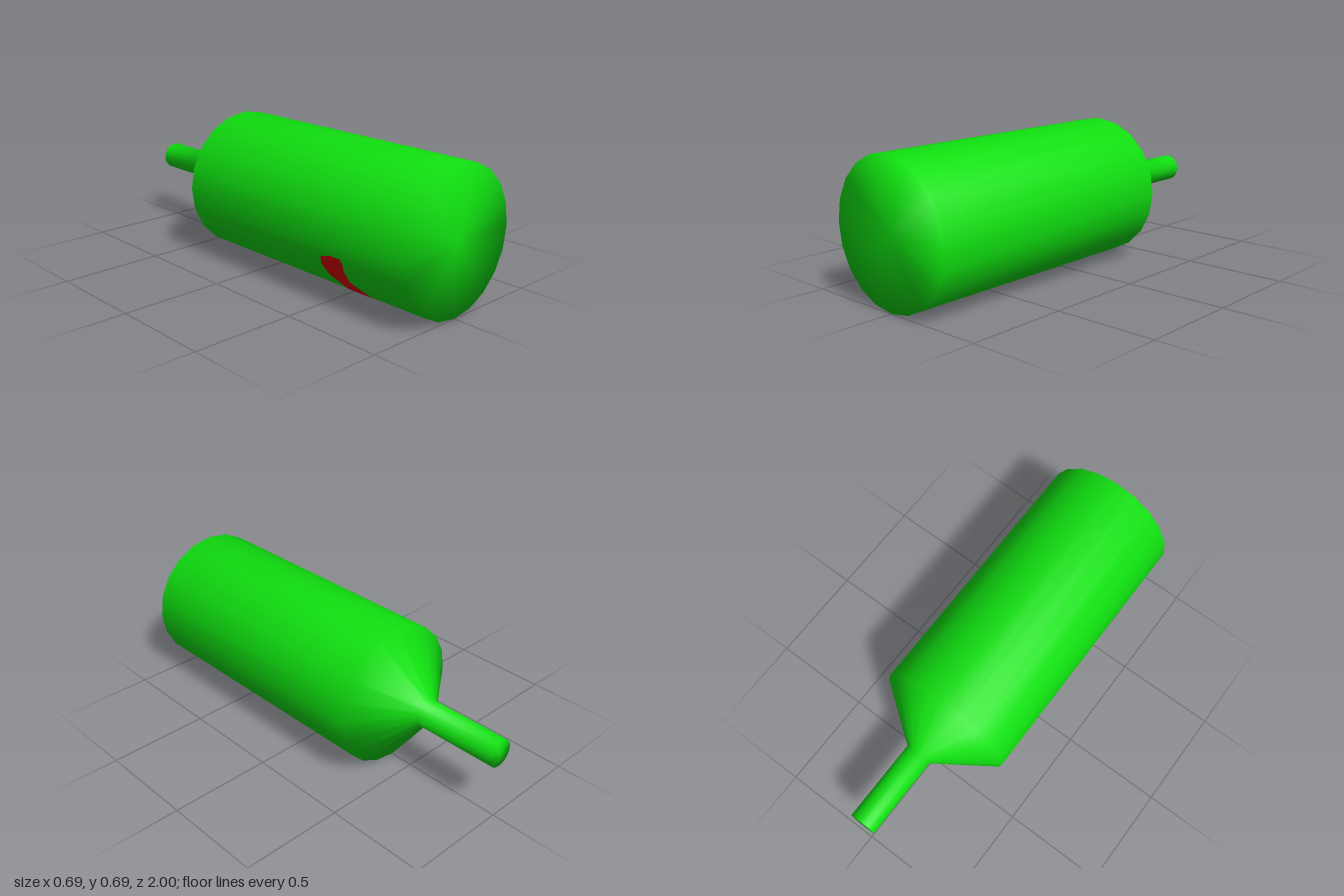
import * as THREE from 'three';
import { mergeVertices } from 'three/addons/utils/BufferGeometryUtils.js';

const R = 0.345, SIDES = 20, STEP = 360 / SIDES;
const rad = THREE.MathUtils.degToRad;

// Bottle: a 20-sided turned profile lying along z, with normals smoothed over every edge
function bottleGeometry() {
  const profile = [[0, -1], [0.0675, -1], [0.0675, -0.585], [R, -0.38], [R, 1], [0, 1]]
    .map(([r, y]) => new THREE.Vector2(r, y));
  const lathe = new THREE.LatheGeometry(profile, SIDES);
  lathe.deleteAttribute('uv');
  lathe.deleteAttribute('normal');
  lathe.rotateX(Math.PI / 2);
  const geo = mergeVertices(lathe, 1e-4);
  geo.computeVertexNormals();
  return geo;
}

// Small slanted patch following the facets; rows are [angle, zStart, zEnd]
function patchGeometry(rows) {
  const pos = [], index = [];
  rows.forEach(([deg, z0, z1], i) => {
    const offset = deg - (Math.floor(deg / STEP) + 0.5) * STEP;
    const r = R * Math.cos(rad(STEP / 2)) / Math.cos(rad(offset)) + 0.002;
    const x = -r * Math.cos(rad(deg)), y = r * Math.sin(rad(deg));
    pos.push(x, y, z0, x, y, z1);
    if (i) {
      const a = 2 * (i - 1);
      index.push(a, a + 2, a + 1, a + 1, a + 2, a + 3);
    }
  });
  const geo = new THREE.BufferGeometry();
  geo.setAttribute('position', new THREE.Float32BufferAttribute(pos, 3));
  geo.setIndex(index);
  geo.computeVertexNormals();
  return geo;
}

export function createModel() {
  const green = new THREE.MeshStandardMaterial({ color: 0x10e010 });
  green.name = 'green';
  const red = new THREE.MeshStandardMaterial({ color: 0xff0000, side: THREE.DoubleSide });
  red.name = 'red';

  const bottle = new THREE.Mesh(bottleGeometry(), green);
  bottle.name = 'bottle';

  const patch = new THREE.Mesh(patchGeometry([
    [-15, 0.58, 0.64], [-18, 0.52, 0.65], [-26, 0.5, 0.64],
    [-36, 0.53, 0.65], [-54, 0.57, 0.71], [-57, 0.66, 0.73],
  ]), red);
  patch.name = 'labelPatch';

  const model = new THREE.Group();
  model.name = 'bottleModel';
  model.add(bottle, patch);
  model.children.forEach((part) => { part.position.y = R; });
  return model;
}
